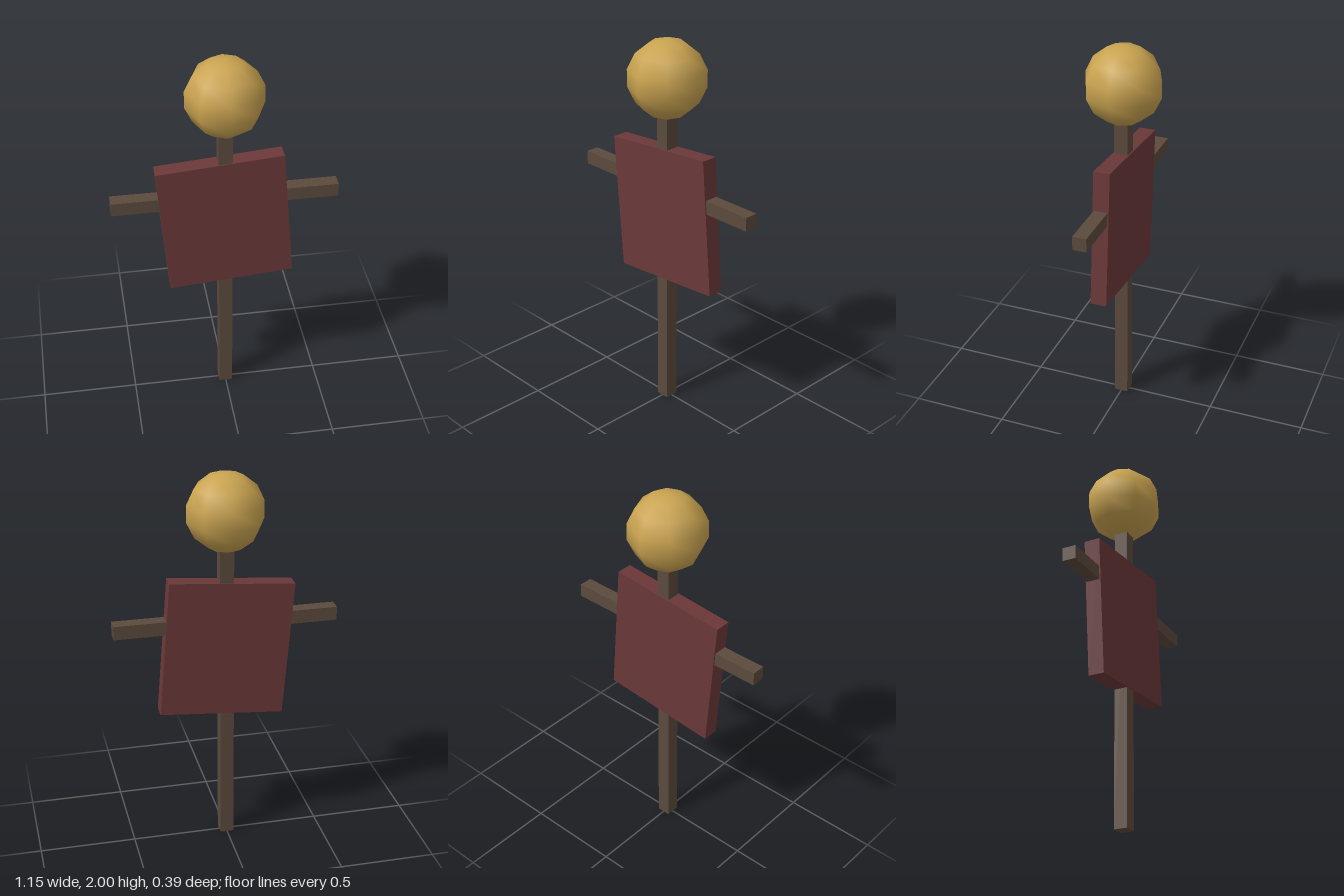
import * as THREE from 'three';

export function createModel() {
  const group = new THREE.Group();
  const material = (name, color) => {
    const m = new THREE.MeshStandardMaterial({ color });
    m.name = name;
    return m;
  };
  const wood = material('dark wood', 0x5c4a3d);
  const cloth = material('dull red cloth', 0x6b3838);
  const straw = material('straw', 0xc9a350);

  const add = (name, geometry, mat, y) => {
    const mesh = new THREE.Mesh(geometry, mat);
    mesh.name = name;
    mesh.position.y = y;
    group.add(mesh);
    return mesh;
  };

  // Upright post, reaching into the head
  add('post', new THREE.BoxGeometry(0.071, 1.64, 0.071), wood, 0.82);

  // Crossbar forming the arms
  add('crossbar', new THREE.BoxGeometry(1.148, 0.071, 0.071), wood, 1.226);

  // Slightly tilted shirt, thicker than the post
  const shirt = add('shirt', new THREE.BoxGeometry(0.643, 0.714, 0.084), cloth, 1.082);
  shirt.rotation.z = 0.082;

  // Smooth-shaded low-poly head
  add('head', new THREE.SphereGeometry(0.2, 8, 7), straw, 1.8);

  return group;
}
